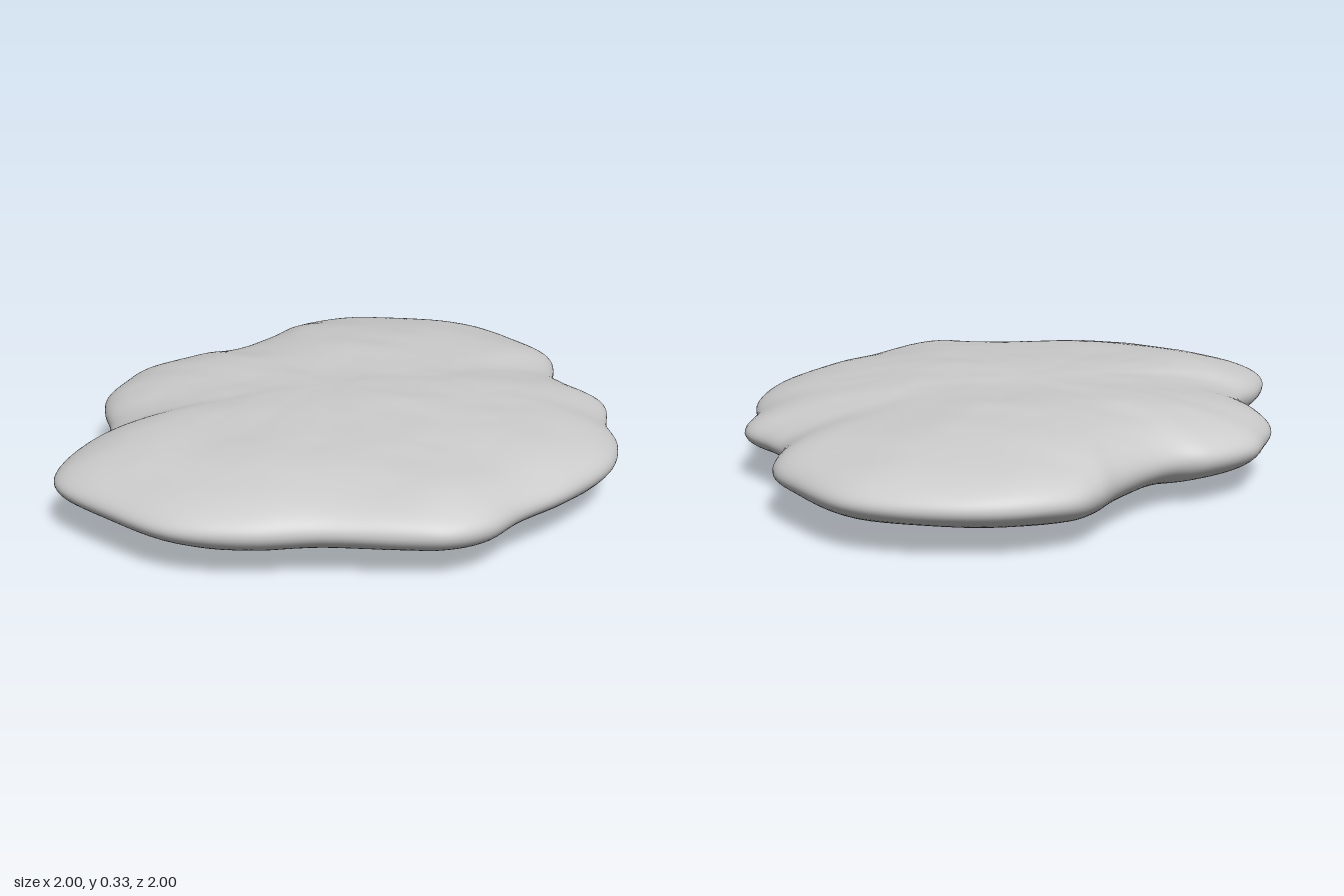
import * as THREE from 'three';
import { mergeVertices } from 'three/addons/utils/BufferGeometryUtils.js';

// Outline seen from above (x, z): from the right side (-x) round the front (+z)
const OUTLINE = [
  [-0.81, 0], [-0.92, 0.1], [-1, 0.25], [-0.995, 0.35], [-0.88, 0.54], [-0.71, 0.75],
  [-0.49, 0.85], [-0.25, 0.89], [0, 0.97], [0.13, 1], [0.27, 0.97], [0.4, 0.88],
  [0.6, 0.77], [0.82, 0.59], [0.905, 0.43], [0.93, 0.27], [0.995, 0.08], [0.94, -0.07],
  [0.91, -0.19], [0.97, -0.4], [0.93, -0.55], [0.82, -0.78], [0.62, -0.92], [0.37, -1],
  [0.14, -0.985], [0.05, -0.93], [-0.05, -0.83], [-0.2, -0.72], [-0.3, -0.68],
  [-0.42, -0.68], [-0.6, -0.61], [-0.68, -0.51], [-0.75, -0.4], [-0.77, -0.28], [-0.77, -0.13],
];

// Smooth value noise in -1..1 from a small integer hash
function hash(i, j) {
  const n = Math.sin(i * 127.1 + j * 311.7) * 43758.5453;
  return (n - Math.floor(n)) * 2 - 1;
}
function noise(x, z) {
  const i = Math.floor(x), j = Math.floor(z);
  const u = THREE.MathUtils.smoothstep(x - i, 0, 1), v = THREE.MathUtils.smoothstep(z - j, 0, 1);
  const { lerp } = THREE.MathUtils;
  return lerp(lerp(hash(i, j), hash(i + 1, j), u), lerp(hash(i, j + 1), hash(i + 1, j + 1), u), v);
}

// Flattened stone: a sphere whose rings follow the outline
function stoneGeometry() {
  const outline = new THREE.CatmullRomCurve3(
    OUTLINE.map(([x, z]) => new THREE.Vector3(x, 0, z)), true, 'centripetal');
  const sphere = new THREE.SphereGeometry(1, 180, 72);
  const pos = sphere.attributes.position, uv = sphere.attributes.uv;
  const p = new THREE.Vector3();
  for (let k = 0; k < pos.count; k++) {
    // Ring size runs from 0 at the poles to 1 at the rim
    const s = Math.hypot(pos.getX(k), pos.getZ(k));
    const side = Math.abs(pos.getY(k)) < 1e-6 ? 0 : Math.sign(pos.getY(k));
    const u = ((Math.atan2(pos.getZ(k), -pos.getX(k)) / (2 * Math.PI)) + 1) % 1;
    outline.getPoint(s < 1e-6 ? 0 : u, p);
    // Blunter edge at front and back, sharper at the two sides
    const zShare = p.z * p.z / p.lengthSq();
    p.multiplyScalar(s);
    const power = 2.1 + 0.8 * zShare * s;
    const dome = Math.sqrt(Math.max(0, 1 - Math.pow(s, power)));
    // Shallow waist across the middle, broad dents and fine diagonal ridges
    const waist = 1 - 0.07 * Math.exp(-(((p.z + 0.08) / 0.22) ** 2));
    const a = p.x + p.z, b = p.x - p.z, o = side * 17.3;
    const bumps = 0.007 * noise(p.x * 3.3 + o, p.z * 3.3)
      + 0.004 * noise(a * 3.5 + o, b * 7)
      + 0.0015 * noise(p.x * 14 + o, p.z * 14);
    // Worn facets just inside the rim
    const facets = 0.016 * s ** 4 * noise(p.x * 5 + 40 + o, p.z * 5);
    pos.setXYZ(k, p.x, side * dome * (0.163 * waist + bumps + facets), p.z);
  }
  sphere.deleteAttribute('uv');
  sphere.deleteAttribute('normal');
  const geometry = mergeVertices(sphere, 1e-4);
  geometry.computeVertexNormals();
  geometry.computeBoundingBox();
  geometry.translate(0, -geometry.boundingBox.min.y, 0);
  return geometry;
}

export function createModel() {
  const group = new THREE.Group();
  group.name = 'flatStone';
  const stone = new THREE.Mesh(
    stoneGeometry(), new THREE.MeshStandardMaterial({ color: 0xcccccc }));
  stone.name = 'stone';
  group.add(stone);
  return group;
}
